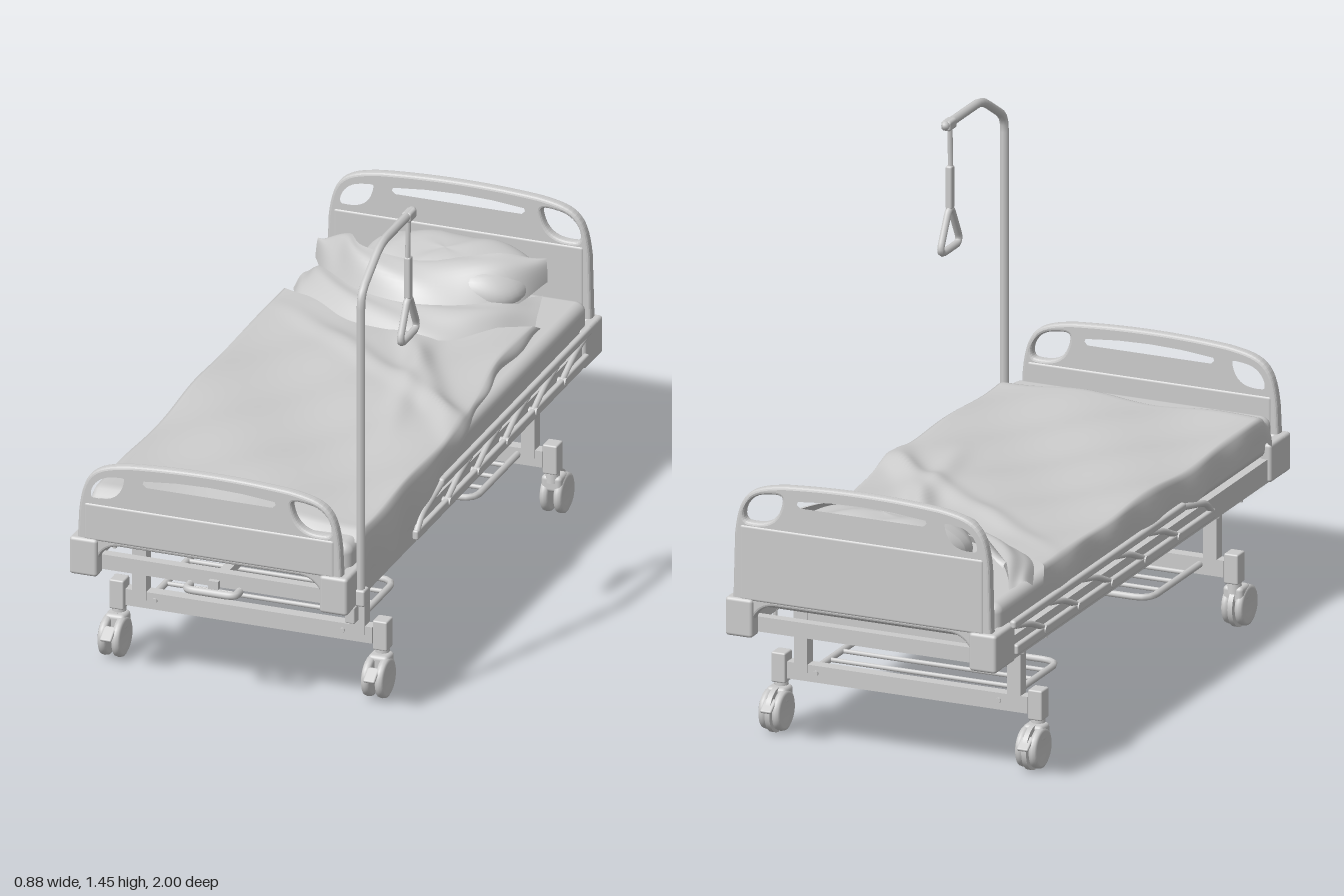
import * as THREE from 'three';
import { RoundedBoxGeometry } from 'three/addons/geometries/RoundedBoxGeometry.js';

const V = (x, y, z) => new THREE.Vector3(x, y, z);
const grey = new THREE.MeshStandardMaterial({ color: 0xcccccc });
const cloth = new THREE.MeshStandardMaterial({ color: 0xcccccc, side: THREE.DoubleSide });

function add(parent, name, geo, x = 0, y = 0, z = 0, mat = grey) {
  const m = new THREE.Mesh(geo, mat);
  m.name = name;
  m.position.set(x, y, z);
  parent.add(m);
  return m;
}
const box = (p, n, w, h, d, x, y, z) => add(p, n, new THREE.BoxGeometry(w, h, d), x, y, z);
const rbox = (p, n, w, h, d, x, y, z, r = 0.01) => add(p, n, new RoundedBoxGeometry(w, h, d, 3, r), x, y, z);

// Tube through straight runs with lightly rounded bends
function pipe(p, name, pts, r, closed = false, bend = 0.03) {
  const path = new THREE.CurvePath(), n = pts.length;
  const toward = (a, b) => a.clone().lerp(b, Math.min(0.45, bend / a.distanceTo(b)));
  let prev = closed ? toward(pts[0], pts[1]) : pts[0];
  for (let i = 1; i < (closed ? n + 1 : n - 1); i++) {
    const c = pts[i % n], a = toward(c, pts[i - 1]), b = toward(c, pts[(i + 1) % n]);
    path.add(new THREE.LineCurve3(prev, a));
    path.add(new THREE.QuadraticBezierCurve3(a, c, b));
    prev = b;
  }
  if (!closed) path.add(new THREE.LineCurve3(prev, pts[n - 1]));
  add(p, name, new THREE.TubeGeometry(path, n * 14, r, 8, closed));
  if (!closed) for (const e of [pts[0], pts[n - 1]]) add(p, name + 'End', new THREE.SphereGeometry(r, 8, 6), e.x, e.y, e.z);
}

// Cloth sheet from a rule: u runs left to right, v from near to far
function sheet(p, name, nu, nv, rule) {
  const g = new THREE.PlaneGeometry(1, 1, nu, nv), pos = g.attributes.position, uv = g.attributes.uv;
  for (let i = 0; i < pos.count; i++) pos.setXYZ(i, ...rule(uv.getX(i), uv.getY(i)));
  g.computeVertexNormals();
  return add(p, name, g, 0, 0, 0, cloth);
}

const curveOf = (C, pts) => new C().setFromPoints(pts.map(q => new THREE.Vector2(...q)));

// End board with two corner openings and a grip slot; top is its highest point
function endBoard(name, top, z) {
  const g = new THREE.Group();
  g.name = name;
  const s = new THREE.Shape();
  s.moveTo(-0.405, 0.4);
  s.lineTo(-0.398, top - 0.17);
  s.bezierCurveTo(-0.385, top - 0.04, -0.35, top - 0.025, -0.24, top - 0.01);
  s.quadraticCurveTo(0, top + 0.01, 0.24, top - 0.01);
  s.bezierCurveTo(0.35, top - 0.025, 0.385, top - 0.04, 0.398, top - 0.17);
  s.lineTo(0.405, 0.4);
  s.lineTo(0.34, 0.42);
  s.quadraticCurveTo(0.32, 0.47, 0.27, 0.47);
  s.lineTo(-0.27, 0.47);
  s.quadraticCurveTo(-0.32, 0.47, -0.34, 0.42);
  for (const k of [-1, 1]) {
    const h = new THREE.Path();
    h.moveTo(k * 0.355, top - 0.13);
    h.bezierCurveTo(k * 0.385, top - 0.125, k * 0.365, top - 0.05, k * 0.3, top - 0.043);
    h.bezierCurveTo(k * 0.25, top - 0.035, k * 0.245, top - 0.04, k * 0.252, top - 0.07);
    h.bezierCurveTo(k * 0.265, top - 0.12, k * 0.3, top - 0.135, k * 0.355, top - 0.13);
    s.holes.push(h);
  }
  s.holes.push(curveOf(THREE.Path, [[-0.205, top - 0.04], [-0.1, top - 0.03], [0, top - 0.027], [0.1, top - 0.03],
    [0.205, top - 0.04], [0.213, top - 0.06], [0.195, top - 0.076], [-0.195, top - 0.076], [-0.213, top - 0.06], [-0.205, top - 0.04]]));
  const geo = new THREE.ExtrudeGeometry(s, { depth: 0.012, bevelThickness: 0.011, bevelSize: 0.009, bevelOffset: -0.009, bevelSegments: 3, curveSegments: 14 });
  add(g, 'panel', geo, 0, 0, z - 0.006);
  rbox(g, 'lowerPanel', 0.76, top - 0.62, 0.04, 0, (top - 0.14 + 0.48) / 2, z, 0.008);
  // L-shaped corner guards
  const e = Math.sign(z);
  for (const k of [-1, 1]) {
    rbox(g, 'cornerGuardFace', 0.085, 0.115, 0.05, k * 0.38, 0.428, e * 0.975);
    rbox(g, 'cornerGuardSide', 0.036, 0.115, 0.135, k * 0.404, 0.428, e * 0.932);
  }
  return g;
}

// Twin-wheel castor with hood and brake pedal
function castor(x, z, e) {
  const g = new THREE.Group();
  g.name = 'castor';
  g.position.set(x, 0, z);
  for (const k of [-1, 1]) {
    const prof = [[0, -0.013], [0.05, -0.013], [0.058, -0.009], [0.06, 0], [0.058, 0.009], [0.05, 0.013], [0.03, 0.009], [0, 0.009]];
    const w = add(g, 'wheel', new THREE.LatheGeometry(prof.map(q => new THREE.Vector2(...q)), 28), k * 0.021, 0.06, 0);
    w.rotation.z = -k * Math.PI / 2;
  }
  const hood = add(g, 'hood', new THREE.CylinderGeometry(0.066, 0.066, 0.06, 20, 1, false, 0, Math.PI), 0, 0.06, 0);
  hood.rotation.set(-Math.PI / 2, 0, Math.PI / 2);
  hood.scale.set(1, 0.25, 1);
  rbox(g, 'forkHead', 0.062, 0.05, 0.06, 0, 0.1, -e * 0.02, 0.012);
  add(g, 'stem', new THREE.CylinderGeometry(0.018, 0.022, 0.06, 16), 0, 0.135, -e * 0.033);
  const pedal = rbox(g, 'brakePedal', 0.035, 0.01, 0.05, 0, 0.085, e * 0.055, 0.004);
  pedal.rotation.x = e * 0.6;
  return g;
}

// Leg frame, castors and storage rack for one end
function undercarriage(e) {
  const g = new THREE.Group(), z = e * 0.663;
  g.name = e > 0 ? 'frontUndercarriage' : 'rearUndercarriage';
  box(g, 'topBeam', 0.71, 0.09, 0.036, 0, 0.375, z);
  box(g, 'lowerBeam', 0.75, 0.05, 0.036, 0, 0.175, z);
  for (const k of [-1, 1]) {
    box(g, 'post', 0.042, 0.23, 0.04, k * 0.332, 0.29, z);
    rbox(g, 'legSocket', 0.044, 0.09, 0.05, k * 0.4, 0.18, z, 0.005);
    const bolt = add(g, 'bolt', new THREE.CylinderGeometry(0.008, 0.008, 0.008, 10), k * 0.285, 0.178, z + e * 0.02);
    bolt.rotation.x = Math.PI / 2;
    for (const d of [-0.035, 0.12]) add(g, 'stopPeg', new THREE.CylinderGeometry(0.007, 0.007, 0.025, 8), k * 0.385, 0.362, z + e * (0.04 - d));
    g.add(castor(k * 0.4, e * 0.697, e));
  }
  const inner = e * 0.305;
  pipe(g, 'rackFrame', [V(-0.3, 0.18, z), V(-0.3, 0.18, inner), V(0.3, 0.18, inner), V(0.3, 0.18, z)], 0.01, false, 0.05);
  for (let i = 1; i < 4; i++) pipe(g, 'rackBar', [V(-0.3, 0.18, inner + e * 0.085 * i), V(0.3, 0.18, inner + e * 0.085 * i)], 0.007);
  return g;
}

// Folded-down safety rail along one side
function sideRail(k) {
  const g = new THREE.Group(), x = k * 0.423;
  g.name = k > 0 ? 'leftSafetyRail' : 'rightSafetyRail';
  rbox(g, 'topRail', 0.02, 0.026, 1.16, x, 0.485, -0.31, 0.008);
  rbox(g, 'bottomRail', 0.018, 0.03, 1.34, x, 0.405, -0.2, 0.006);
  pipe(g, 'railEnd', [V(x, 0.485, 0.26), V(x, 0.45, 0.42), V(x, 0.41, 0.46)], 0.01);
  for (let i = 0; i < 5; i++) {
    const z = 0.16 - i * 0.225;
    pipe(g, 'foldingLink', [V(x, 0.475, z - 0.12), V(x, 0.455, z - 0.03), V(x, 0.415, z + 0.06)], 0.009);
    const pivot = add(g, 'pivot', new THREE.CylinderGeometry(0.012, 0.012, 0.026, 12), x, 0.41, z + 0.06);
    pivot.rotation.z = Math.PI / 2;
  }
  return g;
}

function bedding() {
  const g = new THREE.Group();
  g.name = 'bedding';
  rbox(g, 'mattress', 0.805, 0.115, 1.86, 0, 0.4975, -0.005, 0.03);
  // Pillow: a squared-off ellipsoid with a soft crown
  const geo = new THREE.SphereGeometry(1, 40, 28), p = geo.attributes.position;
  const pw = (a, e) => Math.sign(a) * Math.abs(a) ** e;
  for (let i = 0; i < p.count; i++) {
    const x = pw(p.getX(i), 0.65), y = p.getY(i), z = pw(p.getZ(i), 0.65);
    p.setXYZ(i, x * 0.26 * (1 - 0.06 * z * z), y * 0.085 + 0.006 * Math.sin(9 * x + 4 * z) * y, z * 0.155 * (0.95 + 0.08 * x * x));
  }
  geo.computeVertexNormals();
  add(g, 'pillow', geo, 0.03, 0.64, -0.785).rotation.x = 0.12;

  // Blanket: hangs over both sides, drawn back along the upper left
  const smooth = THREE.MathUtils.smoothstep;
  sheet(g, 'blanket', 72, 90, (u, v) => {
    const s = 2 * u - 1, t = Math.abs(s), start = -0.52 - 0.16 * s * s;
    let z = THREE.MathUtils.lerp(0.87, start, v);
    const pulled = s > 0 ? 1 - smooth(z, -0.4, 0.15) : 0;
    const half = 0.405 - 0.06 * pulled;
    const hang = s > 0 ? 0.12 * smooth(z, 0.02, 0.45) + 0.025 : 0.085 + 0.02 * Math.sin(6 * z);
    const f = Math.max(0, (t - 0.85) / 0.15);
    const x = Math.sign(s) * (Math.min(t / 0.85, 1) * half + 0.016 * Math.sin(f * Math.PI / 2) + 0.006 * f * Math.sin(z * 22));
    let y = 0.576 + 0.012 * (1 - smooth(z, -0.3, 0.4)) - hang * f ** 1.3;
    const flat = 1 - f;
    y += flat * (0.005 * Math.sin(11 * x - 8 * z) + 0.004 * Math.sin(17 * x + 13 * z + 1));
    // Diagonal ridges where the cloth was pulled
    for (const [a, b, c, h] of [[0.85, -0.52, 0.27, 0.018], [0.6, -0.8, 0.2, 0.012], [0.97, -0.2, 0.19, 0.014]]) {
      const d = a * x + b * z - c;
      y += flat * h * Math.exp(-((d / 0.035) ** 2)) * smooth(z, -0.6, -0.3) * (1 - smooth(z, 0.0, 0.3));
    }
    y -= 0.03 * (1 - smooth(v, 0, 0.03));
    return [x, y, z];
  });

  // Turned-back folds wrapping the pillow
  const fold = (name, outer, inner, bulge) => {
    const a = new THREE.CatmullRomCurve3(outer.map(q => V(...q))), b = new THREE.CatmullRomCurve3(inner.map(q => V(...q)));
    sheet(g, name, 48, 14, (u, v) => {
      const q = a.getPoint(u).lerp(b.getPoint(u), v);
      return [q.x, q.y + bulge * Math.sin(Math.PI * v) + 0.006 * Math.sin(14 * u + 6 * v) * Math.sin(Math.PI * v), q.z];
    });
  };
  fold('lowerFold',
    [[-0.41, 0.55, -0.72], [-0.35, 0.58, -0.6], [-0.2, 0.585, -0.5], [0, 0.585, -0.45], [0.13, 0.585, -0.45], [0.25, 0.575, -0.55], [0.34, 0.56, -0.68]],
    [[-0.39, 0.57, -0.84], [-0.33, 0.62, -0.74], [-0.18, 0.63, -0.62], [0, 0.63, -0.58], [0.12, 0.63, -0.6], [0.24, 0.63, -0.68], [0.31, 0.6, -0.82]], 0.015);
  fold('upperFold',
    [[-0.39, 0.6, -0.84], [-0.3, 0.6, -0.7], [-0.18, 0.605, -0.6], [0, 0.605, -0.555], [0.14, 0.605, -0.59], [0.26, 0.61, -0.68], [0.32, 0.64, -0.83]],
    [[-0.38, 0.64, -0.86], [-0.28, 0.7, -0.82], [-0.2, 0.715, -0.72], [-0.02, 0.71, -0.69], [0.1, 0.72, -0.74], [0.2, 0.73, -0.78], [0.31, 0.7, -0.84]], 0.035);
  return g;
}

// Lifting pole with strap and triangular grip
function liftingPole() {
  const g = new THREE.Group(), x = 0.43;
  g.name = 'liftingPole';
  pipe(g, 'pole', [V(x, 0.385, 0.91), V(x, 1.335, 0.91), V(x, 1.428, 0.755), V(x, 1.428, 0.51)], 0.013, false, 0.04);
  rbox(g, 'poleSocket', 0.036, 0.05, 0.04, x, 0.4, 0.91, 0.006);
  rbox(g, 'socketFoot', 0.03, 0.05, 0.035, 0.41, 0.352, 0.93, 0.004);
  rbox(g, 'strapClamp', 0.03, 0.03, 0.05, x, 1.425, 0.535, 0.008);
  pipe(g, 'strap', [V(x, 1.42, 0.54), V(x, 1.31, 0.545), V(x, 1.17, 0.54)], 0.008);
  rbox(g, 'strapBuckle', 0.02, 0.13, 0.024, x, 1.235, 0.541, 0.006);
  pipe(g, 'grip', [V(x, 1.185, 0.54), V(x, 1.052, 0.612), V(x, 1.052, 0.468)], 0.011, true, 0.035);
  return g;
}

export function createModel() {
  const bed = new THREE.Group();
  bed.name = 'hospitalBed';
  bed.add(endBoard('headboard', 0.845, -0.973), endBoard('footboard', 0.735, 0.973));
  // Bed frame and slats
  for (const k of [-1, 1]) {
    box(bed, 'frameRail', 0.03, 0.07, 1.8, k * 0.395, 0.405, 0);
    box(bed, 'frameEnd', 0.78, 0.045, 0.03, 0, 0.398, k * 0.93);
    bed.add(undercarriage(k), sideRail(k));
  }
  for (let i = 0; i < 11; i++) box(bed, 'slat', 0.77, 0.018, 0.085, 0, 0.43, -0.8 + i * 0.16);
  // Crank with pull-out handle below the footboard
  box(bed, 'crankShaft', 0.03, 0.025, 0.3, 0, 0.385, 0.81);
  pipe(bed, 'crankHandle', [V(-0.075, 0.372, 0.945), V(-0.075, 0.372, 0.985), V(0.075, 0.372, 0.985), V(0.075, 0.372, 0.945)], 0.012);
  bed.add(bedding(), liftingPole());
  return bed;
}
